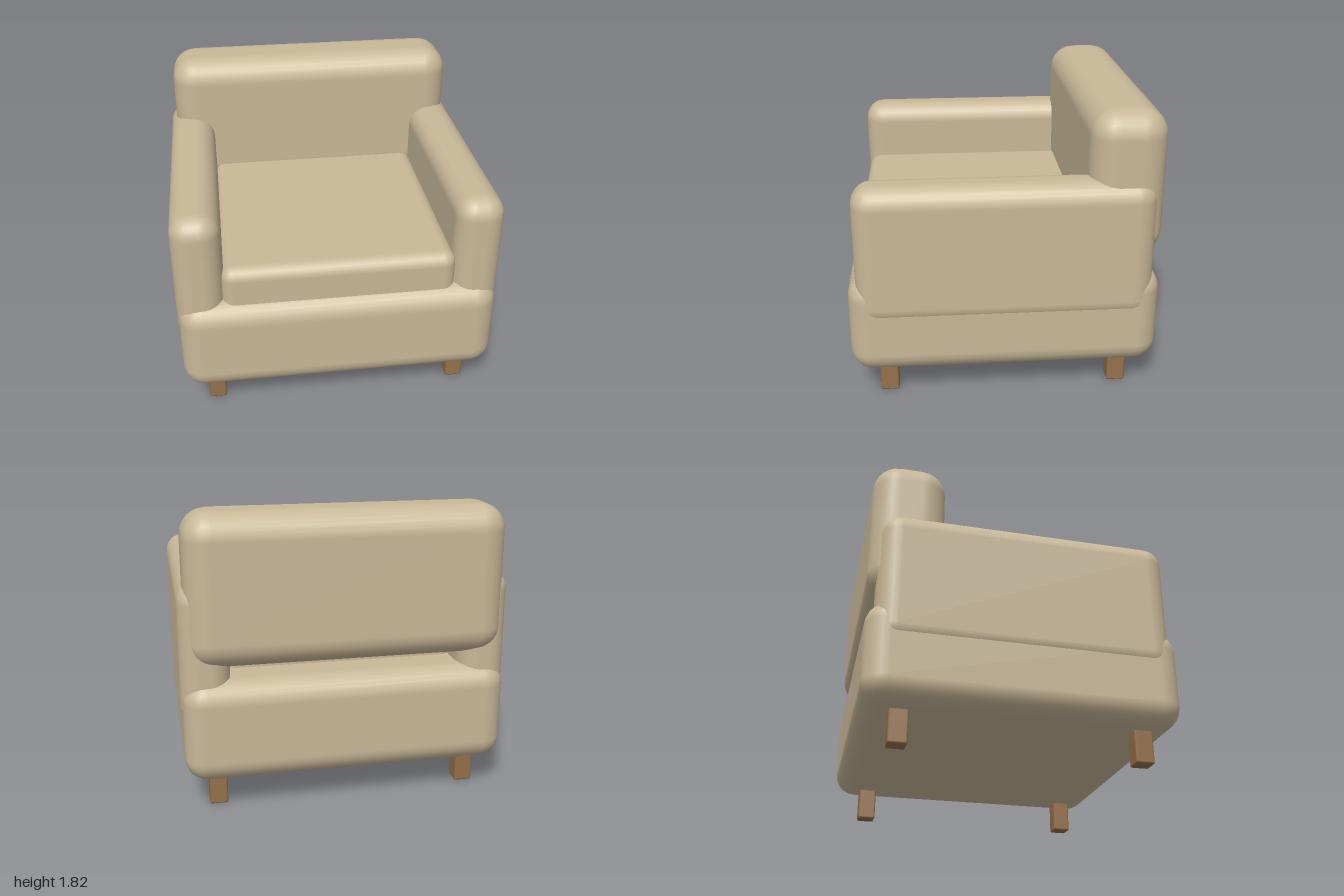
import * as THREE from 'three';
import { RoundedBoxGeometry } from 'three/addons/geometries/RoundedBoxGeometry.js';

const fabric = new THREE.MeshStandardMaterial({ color: 0xc8b898 });
const wood = new THREE.MeshStandardMaterial({ color: 0x96714c });

// Rounded block given by its [min, max] range on each axis
function block(name, [x0, x1], [y0, y1], [z0, z1], radius, segments, material) {
  const mesh = new THREE.Mesh(
    new RoundedBoxGeometry(x1 - x0, y1 - y0, z1 - z0, segments, radius), material);
  mesh.position.set((x0 + x1) / 2, (y0 + y1) / 2, (z0 + z1) / 2);
  mesh.name = name;
  return mesh;
}

export function createModel() {
  const armchair = new THREE.Group();
  armchair.name = 'armchair';

  // Upholstered body
  armchair.add(
    block('base', [-0.99, 0.99], [0.2, 0.83], [-0.945, 0.945], 0.14, 3, fabric),
    block('seatCushion', [-0.72, 0.72], [0.7, 1.05], [-0.65, 0.875], 0.08, 3, fabric),
    block('backrest', [-0.96, 0.96], [0.9, 1.815], [-0.945, -0.49], 0.16, 3, fabric),
  );

  for (const side of [1, -1]) {
    const sideName = side > 0 ? 'left' : 'right';

    // Armrest, sunk into the base
    const arm = block(sideName + 'Armrest', [0.7, 1], [0.53, 1.41], [-0.893, 0.893], 0.125, 3, fabric);
    arm.position.x *= side;
    armchair.add(arm);

    // Front and back legs
    for (const end of [1, -1]) {
      const leg = block(sideName + (end > 0 ? 'FrontLeg' : 'BackLeg'),
        [0.735, 0.845], [0, 0.25], [0.663, 0.778], 0.012, 1, wood);
      leg.position.x *= side;
      leg.position.z *= end;
      armchair.add(leg);
    }
  }
  return armchair;
}
